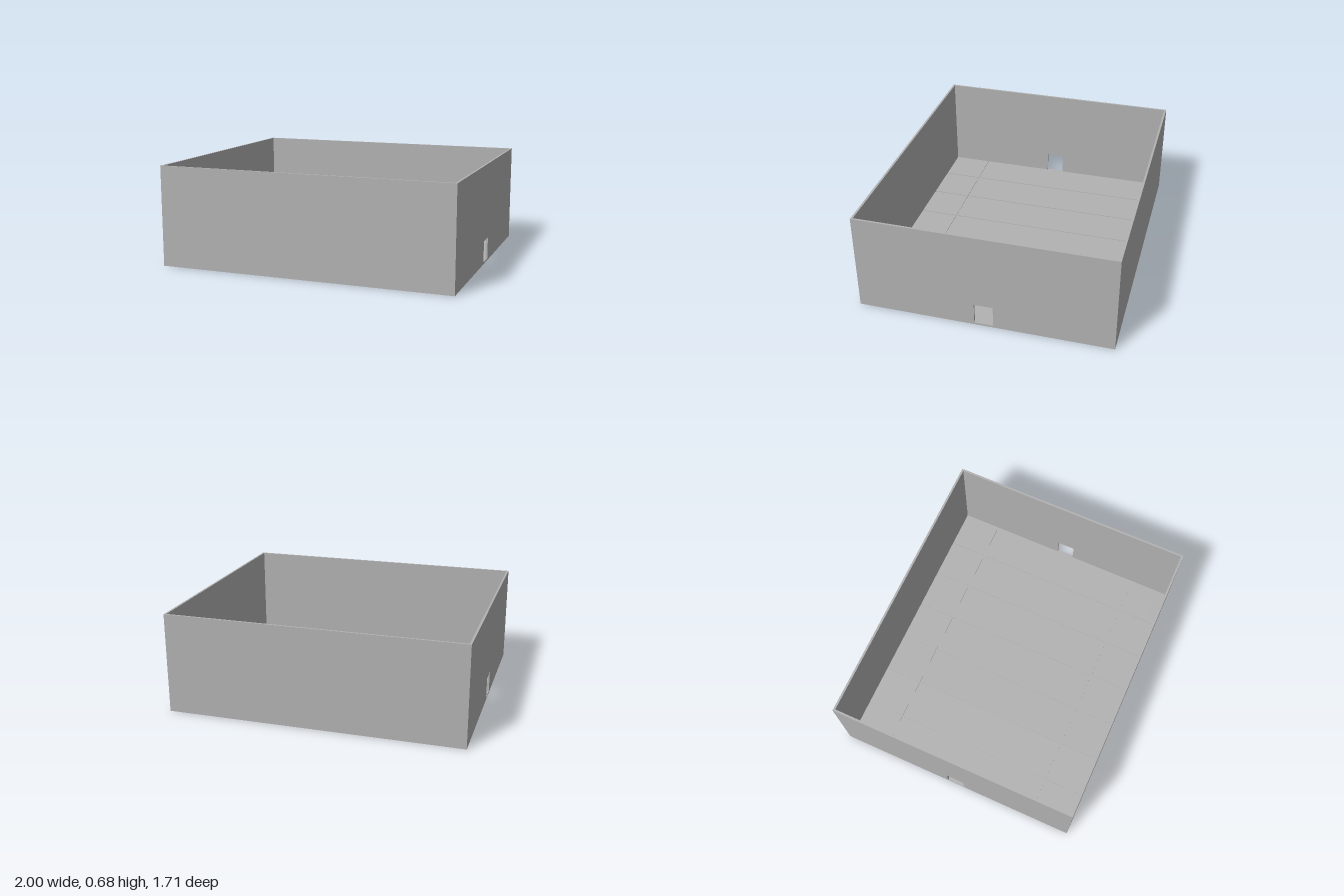
import * as THREE from 'three';

const W = 2, D = 1.714, H = 0.68; // outer size
const T = 0.014;                  // wall and floor thickness
const CELL = W / 7;               // floor panel module
const GAP = 0.005;                // joint between panels
const DOOR_HALF = 0.063, DOOR_TOP = 0.16;

export function createModel() {
  const model = new THREE.Group();
  const concrete = new THREE.MeshStandardMaterial({ color: 0xb2b2b2 });
  concrete.name = 'concrete grey';

  const add = (name, geometry, x, y, z, parent = model) => {
    const mesh = new THREE.Mesh(geometry, concrete);
    mesh.name = name;
    mesh.position.set(x, y, z);
    parent.add(mesh);
    return mesh;
  };

  // Base slab under the floor panels
  add('floorSlab', new THREE.BoxGeometry(W, 0.01, D), 0, 0.005, 0);

  // Floor panels with narrow open joints
  const floor = new THREE.Group();
  floor.name = 'floorPanels';
  model.add(floor);
  const xs = [-W / 2, ...Array.from({ length: 6 }, (_, i) => (i - 2.5) * CELL), W / 2];
  const zs = [-D / 2, -2 * CELL, 2 * CELL, D / 2];
  const span = (edges, i) => {
    const a = edges[i] + (i === 0 ? 0 : GAP / 2);
    const b = edges[i + 1] - (i === edges.length - 2 ? 0 : GAP / 2);
    return [b - a, (a + b) / 2];
  };
  for (let i = 0; i < xs.length - 1; i++) {
    for (let j = 0; j < zs.length - 1; j++) {
      const [w, x] = span(xs, i);
      const [d, z] = span(zs, j);
      // Panels stay just inside the outer faces of the walls
      add('floorPanel', new THREE.BoxGeometry(w - 0.001, T - 0.01, d - 0.001), x, (T + 0.01) / 2, z, floor);
    }
  }

  // Plain front and back walls
  for (const s of [1, -1]) {
    add(s > 0 ? 'frontWall' : 'backWall', new THREE.BoxGeometry(W, H - 0.01, T),
      0, (H + 0.01) / 2, s * (D - T) / 2);
  }

  // Side walls, each with a doorway
  const outline = new THREE.Shape();
  const half = D / 2 - T;
  outline.moveTo(-half, 0.01);
  outline.lineTo(-DOOR_HALF, 0.01);
  outline.lineTo(-DOOR_HALF, DOOR_TOP);
  outline.lineTo(DOOR_HALF, DOOR_TOP);
  outline.lineTo(DOOR_HALF, 0.01);
  outline.lineTo(half, 0.01);
  outline.lineTo(half, H);
  outline.lineTo(-half, H);
  outline.closePath();
  const sideWall = new THREE.ExtrudeGeometry(outline, { depth: T, bevelEnabled: false });
  sideWall.rotateY(Math.PI / 2);
  add('leftWall', sideWall, W / 2 - T, 0, 0);
  add('rightWall', sideWall, -W / 2, 0, 0);

  return model;
}
